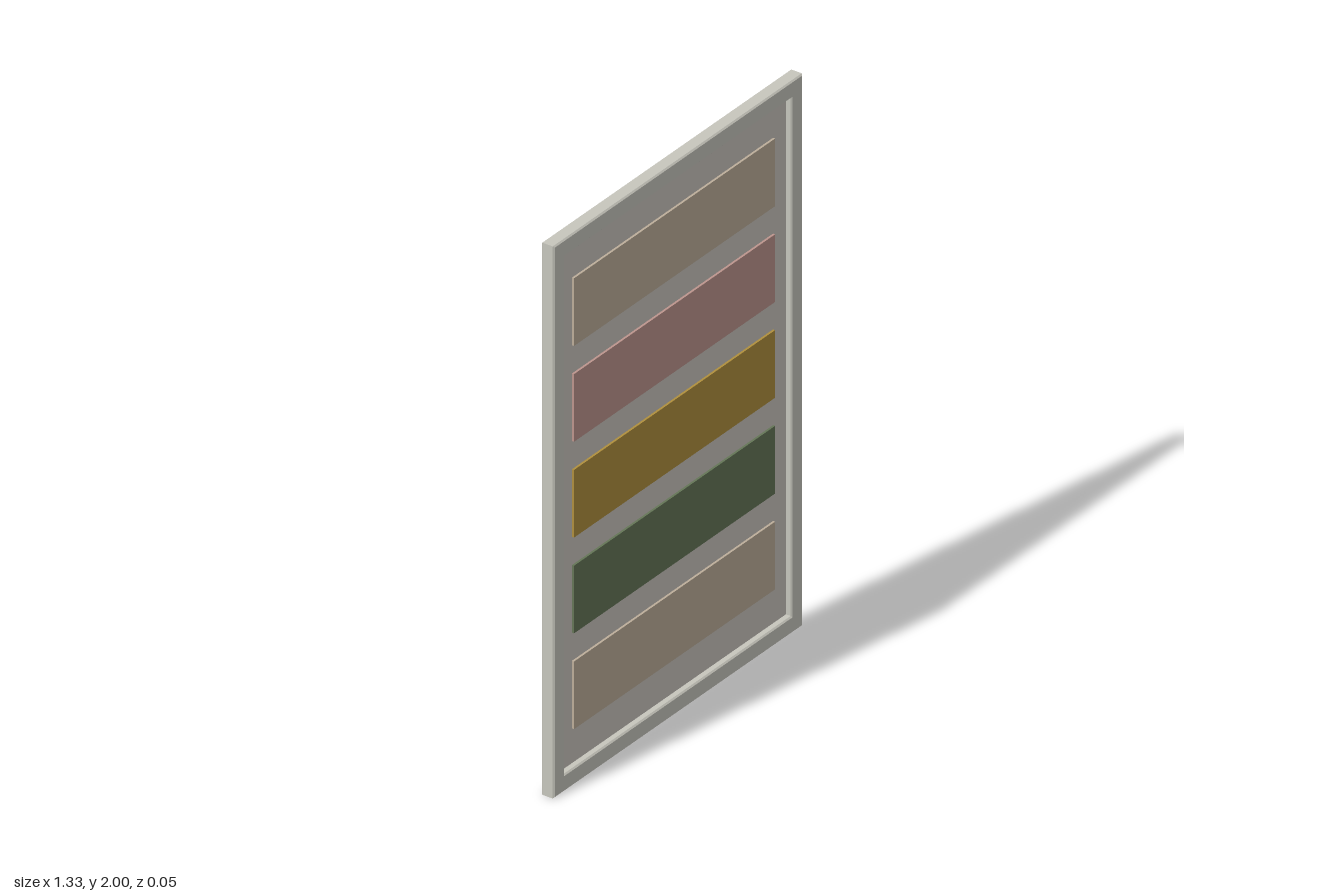
import * as THREE from 'three';

const mat = (name, color) => {
  const m = new THREE.MeshStandardMaterial({ color });
  m.name = name;
  return m;
};

export function createModel() {
  const group = new THREE.Group();
  group.name = 'framedPanel';
  const stone = mat('warm grey frame', 0xc7c6bd);
  const board = mat('pale grey board', 0xc9c4be);
  const tan = mat('tan', 0xbdae9a);
  const pink = mat('dusty pink', 0xbd958d);
  const gold = mat('ochre', 0xb08f3d);
  const green = mat('moss green', 0x657657);

  const W = 1.325, H = 2, D = 0.05, B = 0.005;

  const box = (name, w, h, d, y, z, material) => {
    const mesh = new THREE.Mesh(new THREE.BoxGeometry(w, h, d), material);
    mesh.name = name;
    mesh.position.set(0, y, z);
    group.add(mesh);
  };

  // Rectangle path centred on the panel
  const rect = (Type, hw, hh) => new Type([
    new THREE.Vector2(-hw, -hh), new THREE.Vector2(hw, -hh),
    new THREE.Vector2(hw, hh), new THREE.Vector2(-hw, hh),
  ]);

  // Border frame with chamfered edges
  const outline = rect(THREE.Shape, W / 2 - B, H / 2 - B);
  outline.holes.push(rect(THREE.Path, 0.603 + B, 0.938 + B));
  const frameGeo = new THREE.ExtrudeGeometry(outline, {
    depth: D - 2 * B, bevelEnabled: true, bevelSize: B, bevelThickness: B, bevelSegments: 1,
  });
  frameGeo.translate(0, H / 2, -D / 2 + B);
  const frame = new THREE.Mesh(frameGeo, stone);
  frame.name = 'frame';
  group.add(frame);

  // Board recessed on both sides
  box('board', 1.22, 1.89, 0.012, 1, -0.004, board);

  // Five raised colour bands, top to bottom
  [tan, pink, gold, green, tan].forEach((m, i) => {
    box(`band${i + 1}`, 1.07, 0.245, 0.008, 1.698 - i * 0.347, 0.006, m);
  });

  return group;
}
